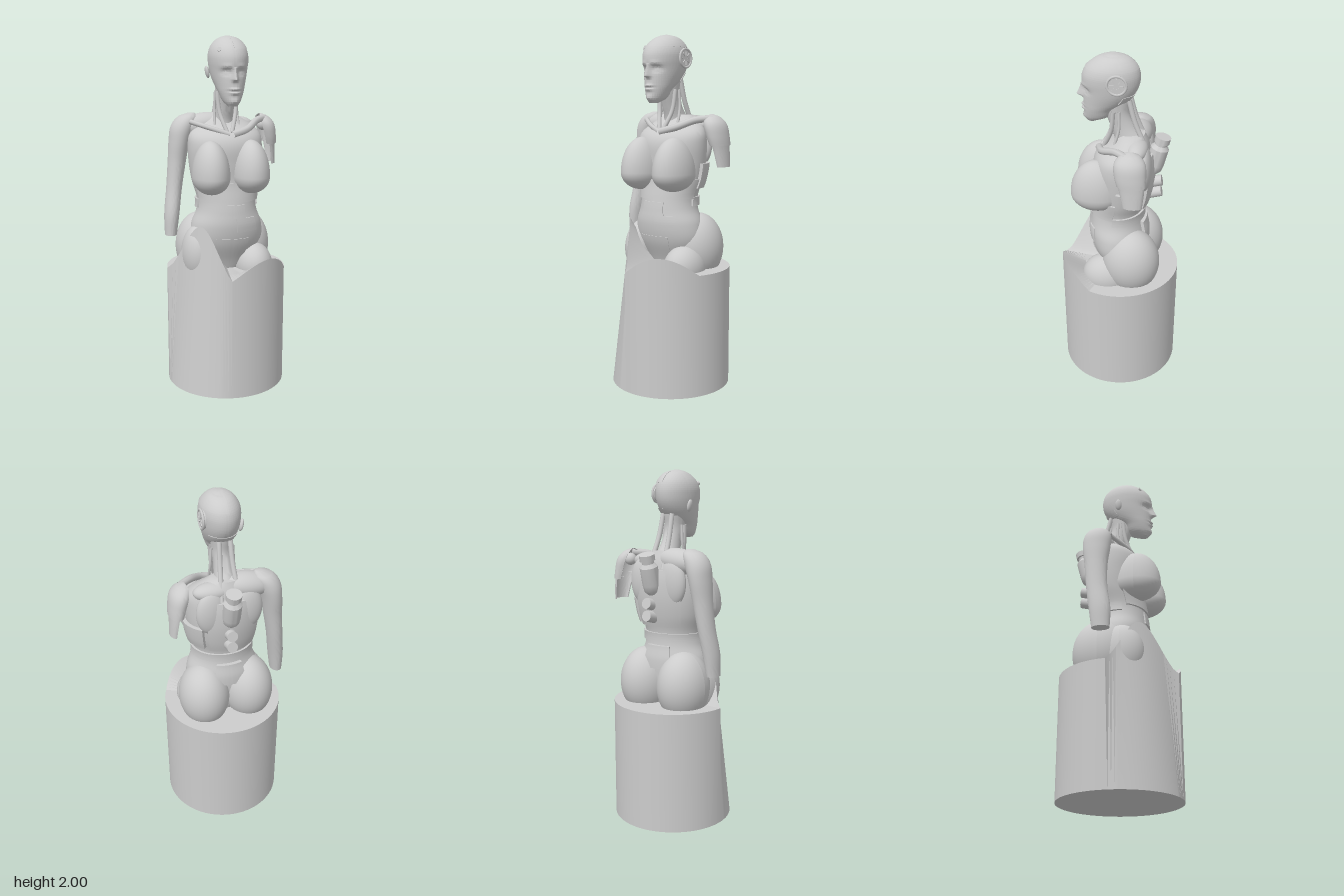
import * as THREE from 'three';
import { toCreasedNormals } from 'three/addons/utils/BufferGeometryUtils.js';

const TAU = Math.PI * 2;
const mat = new THREE.MeshStandardMaterial({ color: 0xcccccc, side: THREE.DoubleSide });
const V = (x, y, z) => new THREE.Vector3(x, y, z);

function add(parent, name, geo, x = 0, y = 0, z = 0) {
  const mesh = new THREE.Mesh(geo, mat);
  mesh.name = name;
  mesh.position.set(x, y, z);
  parent.add(mesh);
  return mesh;
}

// Grid surface from point(i, j), with creased normals
function grid(nu, nv, point, crease = 0.7) {
  const pos = [], idx = [];
  for (let j = 0; j <= nv; j++) for (let i = 0; i <= nu; i++) pos.push(...point(i, j));
  for (let j = 0; j < nv; j++) for (let i = 0; i < nu; i++) {
    const a = j * (nu + 1) + i, b = a + nu + 1;
    idx.push(a, a + 1, b, a + 1, b + 1, b);
  }
  const geo = new THREE.BufferGeometry();
  geo.setAttribute('position', new THREE.Float32BufferAttribute(pos, 3));
  geo.setIndex(idx);
  return toCreasedNormals(geo, crease);
}

// Smoothly interpolated cross-section [y, cx, cz, rx, rz] at height y
function sectionAt(s, y) {
  let i = 0;
  while (i < s.length - 2 && y > s[i + 1][0]) i++;
  const p = s[i], q = s[i + 1], o = s[Math.max(i - 1, 0)], r = s[Math.min(i + 2, s.length - 1)];
  const h = q[0] - p[0], t = (y - p[0]) / h, t2 = t * t, t3 = t2 * t;
  return [1, 2, 3, 4].map(k => {
    const m0 = (q[k] - o[k]) / (q[0] - o[0]) * h, m1 = (r[k] - p[k]) / (r[0] - p[0]) * h;
    return (2 * t3 - 3 * t2 + 1) * p[k] + (t3 - 2 * t2 + t) * m0 + (3 * t2 - 2 * t3) * q[k] + (t3 - t2) * m1;
  });
}

// Closed body lofted through elliptical sections; angle 0 is the front
function loft(s, nu = 40, nv = 40, warp = p => p) {
  const y0 = s[0][0], y1 = s[s.length - 1][0];
  return grid(nu, nv + 2, (i, j) => {
    const y = y0 + (y1 - y0) * THREE.MathUtils.clamp((j - 1) / nv, 0, 1);
    const [cx, cz, rx, rz] = sectionAt(s, y), a = i / nu * TAU, k = j === 0 || j === nv + 2 ? 0 : 1;
    return warp([cx + k * rx * Math.sin(a), y, cz + k * rz * Math.cos(a)]);
  }, 0.9);
}

// Raised plate following part of a loft, with folded edges
function plate(s, y0, y1, a0, a1, off = 0.01, nu = 24, nv = 14) {
  return grid(nu + 2, nv + 2, (i, j) => {
    const u = THREE.MathUtils.clamp((i - 1) / nu, 0, 1), v = THREE.MathUtils.clamp((j - 1) / nv, 0, 1);
    const edge = i === 0 || j === 0 || i === nu + 2 || j === nv + 2;
    const y = y0 + (y1 - y0) * v, a = a0 + (a1 - a0) * u, d = edge ? -0.006 : off;
    const [cx, cz, rx, rz] = sectionAt(s, y);
    return [cx + (rx + d) * Math.sin(a), y, cz + (rz + d) * Math.cos(a)];
  }, 0.6);
}

// Ellipsoid whose upper half may have its own height
function ellipsoid(rx, ry, rz, up = ry) {
  const geo = new THREE.SphereGeometry(1, 36, 26), p = geo.attributes.position;
  for (let i = 0; i < p.count; i++) {
    const y = p.getY(i);
    p.setXYZ(i, p.getX(i) * rx, y * (y > 0 ? up : ry), p.getZ(i) * rz);
  }
  geo.computeVertexNormals();
  return geo;
}

const tube = (pts, r) => new THREE.TubeGeometry(new THREE.CatmullRomCurve3(pts), 24, r, 8);

const TORSO = [
  [0.66, 0, -0.02, 0.1, 0.09], [0.74, 0, -0.02, 0.16, 0.12], [0.85, 0, 0, 0.21, 0.15],
  [0.95, 0, 0.01, 0.205, 0.16], [1.03, 0, 0.015, 0.175, 0.15], [1.1, 0, 0.01, 0.17, 0.145],
  [1.2, 0, -0.01, 0.195, 0.15], [1.3, 0, -0.015, 0.21, 0.16], [1.4, 0, -0.015, 0.215, 0.16],
  [1.46, 0, -0.025, 0.205, 0.14], [1.51, 0, -0.055, 0.16, 0.1], [1.56, 0, -0.07, 0.08, 0.065],
];
const HEAD = [
  [1.625, 0, 0.15, 0.025, 0.025], [1.65, 0, 0.125, 0.047, 0.066], [1.7, 0, 0.108, 0.068, 0.086],
  [1.74, 0, 0.08, 0.082, 0.115], [1.78, 0, 0.06, 0.094, 0.133], [1.82, 0, 0.05, 0.102, 0.146],
  [1.86, 0, 0.048, 0.107, 0.154], [1.9, 0, 0.045, 0.107, 0.15], [1.94, 0, 0.04, 0.095, 0.13],
  [1.975, 0, 0.035, 0.068, 0.09], [1.992, 0, 0.035, 0.04, 0.05], [2.0, 0, 0.035, 0.01, 0.012],
];
const SHOULDER = [
  [1.27, 0.297, -0.1, 0.028, 0.052], [1.36, 0.285, -0.095, 0.036, 0.066], [1.44, 0.27, -0.085, 0.047, 0.078],
  [1.51, 0.252, -0.08, 0.05, 0.075], [1.55, 0.235, -0.08, 0.03, 0.04], [1.562, 0.23, -0.08, 0.004, 0.005],
];

function buildPedestal(root) {
  const n = 120, hump = t => (t > 0 && t < 1 ? Math.sin(Math.PI * t) : 0);
  add(root, 'pedestal', grid(n, 4, (i, j) => {
    const a = (i / n - 0.5) * TAU;
    const slope = hump((-0.17 - a) / 1.45), wave = hump((a + 0.15) / 1.3);
    const rim = 0.343 - 0.11 * Math.pow(slope, 0.6), top = 0.69 + 0.27 * slope + 0.1 * wave;
    const [r, y] = [[0, 0], [0.343, 0], [rim, top], [rim * 0.6, 0.69 + 0.1 * slope], [0, 0.69]][j];
    return [r * Math.sin(a), y, r * Math.cos(a)];
  }, 0.5));
}

function buildHead(root) {
  const head = new THREE.Group();
  head.name = 'head';
  root.add(head);
  const bell = (d, w) => Math.exp(-(d * d) / (w * w));
  // Face relief: eye sockets, eyeballs, brow, nose, lips and chin
  add(head, 'skull', loft(HEAD, 128, 110, ([x, y, z]) => {
    if (z < 0.09) return [x, y, z];
    const ax = Math.abs(x);
    let d = -0.02 * bell(ax - 0.042, 0.024) * bell(y - 1.808, 0.017);
    d += 0.01 * bell(ax - 0.043, 0.014) * bell(y - 1.805, 0.009);
    d += 0.006 * bell(ax - 0.04, 0.03) * bell(y - 1.838, 0.012);
    const t = (1.835 - y) / 0.065;
    if (t > 0) d += bell(x, 0.009 + 0.006 * Math.min(t, 1)) * (t < 1 ? 0.008 + 0.03 * t : 0.038 * bell(t - 1, 0.16));
    d += 0.012 * bell(x, 0.024) * (bell(y - 1.717, 0.008) + bell(y - 1.697, 0.008));
    d -= 0.006 * bell(x, 0.03) * bell(y - 1.707, 0.004);
    d += 0.008 * bell(x, 0.025) * bell(y - 1.65, 0.016);
    return [x, y, z + d];
  }));
  add(head, 'crownPlate', plate(HEAD, 1.93, 1.992, 0, Math.PI, 0.004));
  add(head, 'napePlate', plate(HEAD, 1.75, 1.79, 2.2, 4.1, 0.005));
  // Ear disc with ring and spokes
  const ear = new THREE.Group();
  ear.name = 'earDisc';
  ear.position.set(0.103, 1.87, 0.005);
  ear.rotation.y = Math.PI / 2;
  head.add(ear);
  add(ear, 'earHub', new THREE.CylinderGeometry(0.05, 0.05, 0.016, 36)).rotation.x = Math.PI / 2;
  add(ear, 'earRing', new THREE.TorusGeometry(0.05, 0.007, 8, 40), 0, 0, 0.006);
  for (let i = 0; i < 8; i++) {
    const a = i / 8 * TAU;
    add(ear, 'earSpoke', new THREE.BoxGeometry(0.022, 0.005, 0.006), 0.026 * Math.cos(a), 0.026 * Math.sin(a), 0.01).rotation.z = a;
  }
  add(head, 'rightEar', ellipsoid(0.012, 0.034, 0.02), -0.108, 1.805, 0.01).rotation.z = 0.2;
  add(head, 'templeStud', new THREE.CylinderGeometry(0.012, 0.012, 0.02, 16), -0.07, 1.925, 0.135).rotation.set(1.1, 0, 0.4);
}

function buildNeck(root) {
  add(root, 'neck', loft([[1.45, 0, -0.06, 0.085, 0.1], [1.53, 0, -0.05, 0.06, 0.082], [1.6, 0, -0.015, 0.05, 0.068],
    [1.68, 0, 0.015, 0.052, 0.066], [1.76, 0, 0.02, 0.06, 0.08]], 32, 24));
  for (const s of [-1, 1]) {
    add(root, 'neckTendon', tube([V(s * 0.058, 1.7, 0.03), V(s * 0.045, 1.58, 0.045), V(s * 0.012, 1.47, 0.09)], 0.012));
    add(root, 'neckCable', tube([V(s * 0.06, 1.7, 0), V(s * 0.065, 1.6, 0), V(s * 0.07, 1.49, 0.03)], 0.008));
    add(root, 'napeStrut', tube([V(s * 0.03, 1.76, -0.05), V(s * 0.035, 1.63, -0.085), V(s * 0.05, 1.46, -0.16)], 0.014));
  }
}

function buildTorso(root) {
  add(root, 'torso', loft(TORSO, 56, 60));
  for (const s of [-1, 1]) {
    add(root, 'breast', ellipsoid(0.105, 0.1, 0.145, 0.2), s * 0.115, 1.235, 0.115);
    add(root, 'hip', ellipsoid(0.147, 0.2, 0.165), s * 0.132, 0.8, -0.078);
    add(root, 'shoulderBlade', ellipsoid(0.085, 0.13, 0.045), s * 0.1, 1.39, -0.14);
  }
  add(root, 'rightThigh', ellipsoid(0.1, 0.17, 0.13), -0.17, 0.78, 0.04);
  add(root, 'leftThigh', ellipsoid(0.11, 0.13, 0.14), 0.15, 0.7, 0.06);
  // Armour panels around the waist, belly and back
  add(root, 'ribPanel', plate(TORSO, 1.09, 1.2, -1.2, 1.5, 0.012));
  add(root, 'bellyPanel', plate(TORSO, 1.0, 1.075, -0.4, 0.4, 0.008));
  add(root, 'abdomenHatch', plate(TORSO, 0.92, 1.0, 0.1, 0.75, 0.007));
  add(root, 'pelvisPanel', plate(TORSO, 0.71, 0.88, -0.45, 0.45, 0.006));
  add(root, 'waistBelt', plate(TORSO, 1.05, 1.1, 1.5, 4.9, 0.012, 40));
  add(root, 'sidePanel', plate(TORSO, 1.15, 1.29, 1.5, 2.4, 0.022));
  add(root, 'backPanel', plate(TORSO, 1.14, 1.46, 2.55, 3.9, 0.022));
  add(root, 'tailPanel', plate(TORSO, 0.9, 1.03, 2.75, 3.55, 0.02));
  // Back canister and studs
  const can = new THREE.Group();
  can.name = 'backCanister';
  can.position.set(0.005, 1.43, -0.205);
  can.rotation.x = -0.25;
  root.add(can);
  const profile = [[0, -0.11], [0.03, -0.105], [0.045, -0.085], [0.05, -0.05], [0.05, 0.05], [0.034, 0.07], [0.034, 0.085], [0.043, 0.087], [0.043, 0.12], [0, 0.12]];
  add(can, 'canisterBody', toCreasedNormals(new THREE.LatheGeometry(profile.map(p => new THREE.Vector2(...p)), 32), 0.6));
  for (const y of [1.27, 1.2]) add(root, 'backStud', new THREE.CylinderGeometry(0.03, 0.034, 0.08, 24), 0.01, y, -0.195).rotation.x = -1.35;
}

function buildArms(root) {
  // Right arm, cut below the elbow
  add(root, 'rightArm', loft([[0.88, -0.315, -0.05, 0.034, 0.05], [1.0, -0.306, -0.058, 0.043, 0.06], [1.15, -0.286, -0.08, 0.045, 0.06],
    [1.3, -0.266, -0.09, 0.052, 0.066], [1.42, -0.25, -0.092, 0.06, 0.08], [1.5, -0.23, -0.09, 0.067, 0.08],
    [1.555, -0.2, -0.088, 0.055, 0.058], [1.575, -0.18, -0.085, 0.02, 0.02]], 36, 40));
  add(root, 'rightTrapezius', ellipsoid(0.15, 0.07, 0.08), -0.11, 1.505, -0.085).rotation.z = 0.12;
  add(root, 'rightCollarbone', tube([V(0, 1.465, 0.105), V(-0.09, 1.495, 0.065), V(-0.2, 1.53, -0.02)], 0.014));
  // Broken left shoulder: collar bar and open shells
  const bar = tube([V(0.01, 1.465, 0.115), V(0.1, 1.49, 0.085), V(0.18, 1.53, 0.005), V(0.25, 1.54, -0.06)], 0.02);
  add(root, 'leftCollarBar', bar);
  add(root, 'leftShoulderShell', plate(SHOULDER, 1.39, 1.562, -0.6, 3.7, 0.006));
  add(root, 'leftUpperArmShell', plate(SHOULDER, 1.27, 1.42, -0.2, 3.2, 0));
  add(root, 'leftShoulderJoint', new THREE.SphereGeometry(0.035, 20, 14), 0.245, 1.5, -0.08);
  add(root, 'leftTrapezius', ellipsoid(0.11, 0.05, 0.06), 0.08, 1.5, -0.1);
}

export function createModel() {
  const root = new THREE.Group();
  root.name = 'androidBust';
  buildPedestal(root);
  buildTorso(root);
  buildNeck(root);
  buildHead(root);
  buildArms(root);
  return root;
}
